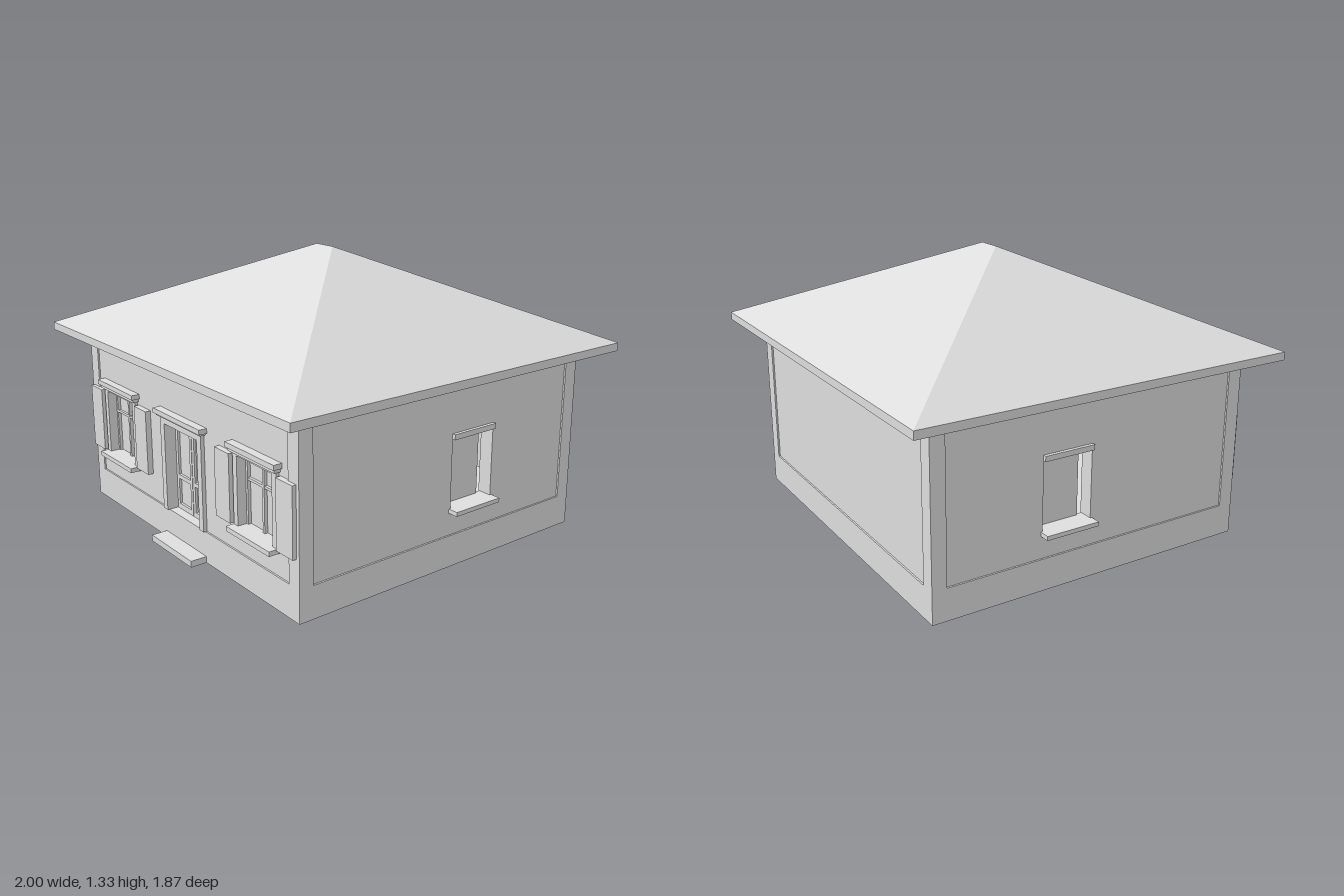
import * as THREE from 'three';

const plaster = new THREE.MeshStandardMaterial({ color: 0xdddddd });
plaster.name = 'pale grey';

function add(parent, name, geometry) {
  const mesh = new THREE.Mesh(geometry, plaster);
  mesh.name = name;
  parent.add(mesh);
  return mesh;
}

// Box given by its limits along each axis
function block(parent, name, [x0, x1], [y0, y1], [z0, z1]) {
  const mesh = add(parent, name, new THREE.BoxGeometry(x1 - x0, y1 - y0, z1 - z0));
  mesh.position.set((x0 + x1) / 2, (y0 + y1) / 2, (z0 + z1) / 2);
  return mesh;
}

// Wall in its own frame: outer face on local z = 0, openings as [x0, x1, y0, y1]
function wall(parent, name, width, openings, turn, distance) {
  const group = new THREE.Group();
  group.name = name;
  group.rotation.y = turn;
  group.position.set(Math.sin(turn) * distance, 0, Math.cos(turn) * distance);
  const rect = (Type, x0, x1, y0, y1) => new Type([
    new THREE.Vector2(x0, y0), new THREE.Vector2(x1, y0),
    new THREE.Vector2(x1, y1), new THREE.Vector2(x0, y1)]);
  const shape = rect(THREE.Shape, -width / 2, width / 2, 0.1, 0.86);
  openings.forEach((o) => shape.holes.push(rect(THREE.Path, ...o)));
  const geometry = new THREE.ExtrudeGeometry(shape, { depth: 0.07, bevelEnabled: false });
  geometry.translate(0, 0, -0.07);
  add(group, name + 'Panel', geometry);
  parent.add(group);
  return group;
}

// Casement window with frame, glazing bars, ledges and shutters
function frontWindow(parent, cx) {
  const g = new THREE.Group();
  g.name = 'frontWindow';
  g.position.x = cx;
  parent.add(g);
  block(g, 'glass', [-0.13, 0.13], [0.27, 0.6], [-0.06, -0.045]);
  block(g, 'lintel', [-0.165, 0.165], [0.605, 0.622], [-0.01, 0.03]);
  block(g, 'lintelCap', [-0.175, 0.175], [0.622, 0.645], [-0.01, 0.04]);
  block(g, 'frameHead', [-0.155, 0.155], [0.59, 0.605], [-0.01, 0.015]);
  block(g, 'sill', [-0.157, 0.157], [0.255, 0.277], [-0.05, 0.055]);
  block(g, 'mullion', [-0.007, 0.007], [0.277, 0.59], [-0.05, -0.03]);
  block(g, 'transom', [-0.125, 0.125], [0.476, 0.488], [-0.05, -0.032]);
  for (const s of [-1, 1]) {
    const span = (a, b) => (s > 0 ? [a, b] : [-b, -a]);
    block(g, 'jamb', span(0.125, 0.155), [0.277, 0.605], [-0.01, 0.015]);
    block(g, 'sash', span(0.113, 0.125), [0.277, 0.59], [-0.05, -0.03]);
    block(g, 'shutter', span(0.167, 0.278), [0.277, 0.59], [-0.005, 0.027]);
  }
}

function door(parent) {
  const g = new THREE.Group();
  g.name = 'door';
  parent.add(g);
  block(g, 'doorBack', [-0.145, 0.145], [0.145, 0.58], [-0.065, -0.05]);
  block(g, 'doorHead', [-0.175, 0.175], [0.572, 0.605], [-0.01, 0.018]);
  block(g, 'doorLintel', [-0.19, 0.19], [0.605, 0.618], [-0.01, 0.03]);
  block(g, 'doorLintelCap', [-0.2, 0.2], [0.615, 0.638], [-0.01, 0.04]);
  for (const s of [-1, 1]) {
    const span = (a, b) => (s > 0 ? [a, b] : [-b, -a]);
    block(g, 'doorJamb', span(0.14, 0.175), [0.15, 0.572], [-0.01, 0.018]);
    block(g, 'innerStile', span(0.002, 0.02), [0.15, 0.565], [-0.055, -0.038]);
    block(g, 'outerStile', span(0.12, 0.138), [0.15, 0.565], [-0.055, -0.038]);
    for (const [y0, y1] of [[0.15, 0.175], [0.3, 0.32], [0.545, 0.565]])
      block(g, 'doorRail', span(0.02, 0.12), [y0, y1], [-0.055, -0.038]);
  }
}

// Open side window with a set-back centre panel
function sideWindow(parent, cx) {
  const g = new THREE.Group();
  g.name = 'sideWindow';
  g.position.x = cx;
  parent.add(g);
  block(g, 'sidePanel', [-0.093, 0.093], [0.27, 0.6], [-0.068, -0.055]);
  block(g, 'sideLintel', [-0.126, 0.126], [0.595, 0.62], [-0.01, 0.016]);
  block(g, 'sideSill', [-0.133, 0.133], [0.255, 0.275], [-0.065, 0.05]);
}

// Hipped roof surface with a short ridge
function roofGeometry() {
  const e = 0.905, top = 1.325, r = 0.06, x = 1, z = 0.937;
  const a = [-x, e, z], b = [x, e, z], c = [x, e, -z], d = [-x, e, -z];
  const l = [-r, top, 0], m = [r, top, 0];
  const triangles = [a, b, m, a, m, l, b, c, m, c, d, l, c, l, m, d, a, l];
  const geometry = new THREE.BufferGeometry();
  geometry.setAttribute('position', new THREE.Float32BufferAttribute(triangles.flat(), 3));
  geometry.computeVertexNormals();
  return geometry;
}

export function createModel() {
  const house = new THREE.Group();
  house.name = 'house';
  const slab = (name, hx, hz, y0, y1) => block(house, name, [-hx, hx], [y0, y1], [-hz, hz]);

  // Plinth, entrance step and corner pilasters
  slab('plinth', 0.87, 0.805, 0, 0.15);
  block(house, 'step', [-0.175, 0.175], [0, 0.03], [0.79, 0.885]);
  for (const sx of [-1, 1]) for (const sz of [-1, 1]) {
    const post = add(house, 'cornerPilaster', new THREE.BoxGeometry(0.07, 0.7, 0.07));
    post.position.set(sx * 0.835, 0.5, sz * 0.77);
  }

  // Walls with their openings
  const windowX = 0.575;
  const hole = (s) => [s * windowX - 0.125, s * windowX + 0.125, 0.27, 0.59];
  const front = wall(house, 'frontWall', 1.72, [hole(-1), hole(1), [-0.14, 0.14, 0.15, 0.572]], 0, 0.797);
  frontWindow(front, -windowX);
  frontWindow(front, windowX);
  door(front);
  wall(house, 'backWall', 1.72, [], Math.PI, 0.797);
  for (const s of [-1, 1]) {
    const cx = s * 0.146;
    const side = wall(house, 'sideWall', 1.59, [[cx - 0.124, cx + 0.124, 0.27, 0.597]], s * Math.PI / 2, 0.862);
    sideWindow(side, cx);
  }

  // Stepped cornice, soffit and eaves
  slab('wallBand', 0.87, 0.805, 0.847, 0.86);
  slab('corniceLower', 0.88, 0.815, 0.852, 0.869);
  slab('corniceUpper', 0.905, 0.84, 0.869, 0.885);
  slab('soffit', 0.99, 0.927, 0.882, 0.9);
  for (const s of [-1, 1]) {
    const span = (a, b) => (s > 0 ? [a, b] : [-b, -a]);
    block(house, 'fasciaLong', [-1, 1], [0.867, 0.905], span(0.917, 0.937));
    block(house, 'fasciaShort', span(0.98, 1), [0.867, 0.905], [-0.917, 0.917]);
  }
  add(house, 'hippedRoof', roofGeometry());
  return house;
}
